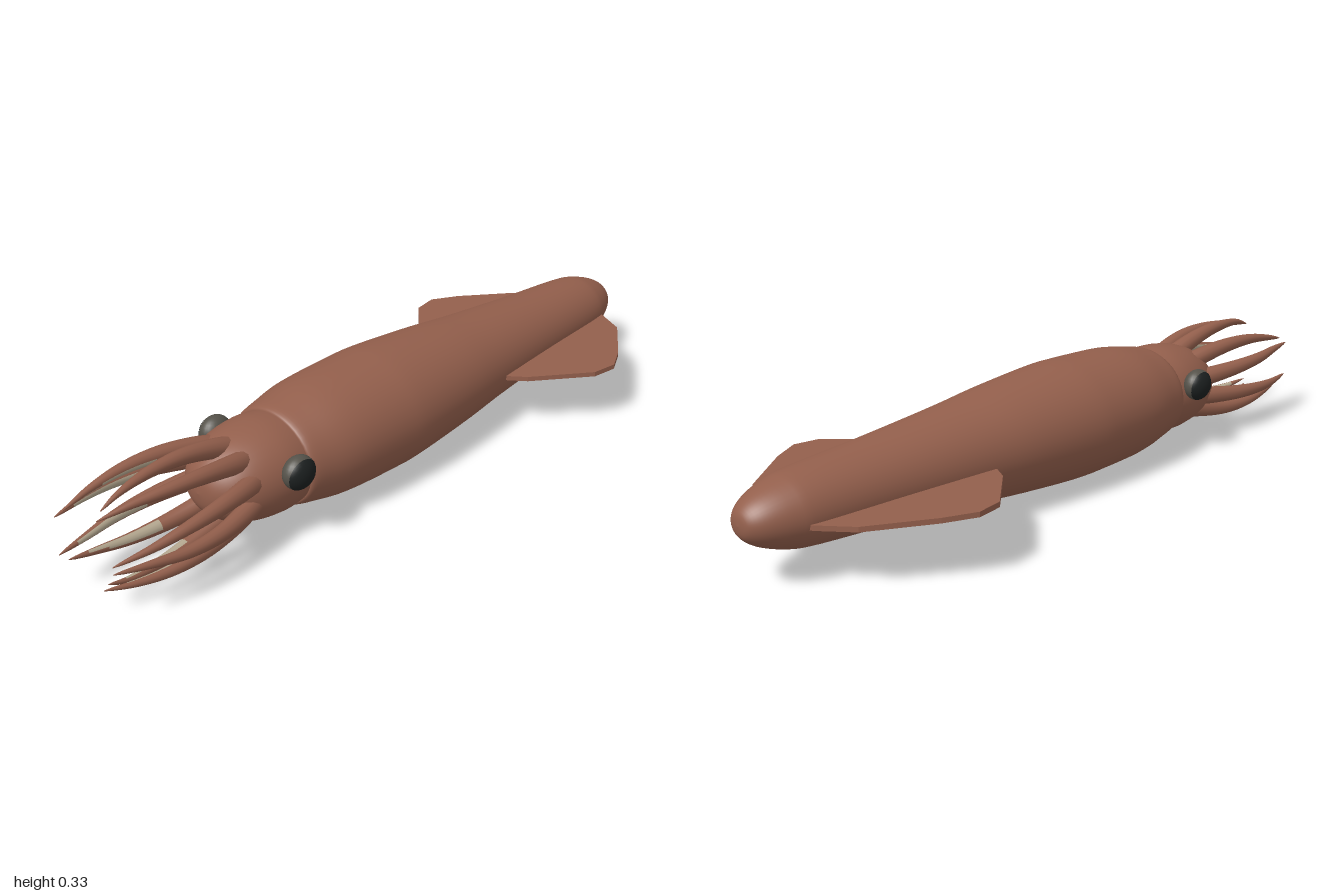
import * as THREE from 'three';

const AXIS_Y = 0.164; // height of the body axis
const FLATTEN = 0.88; // body is slightly wider than tall

function material(name, color, side = THREE.FrontSide) {
  const m = new THREE.MeshStandardMaterial({ color, side });
  m.name = name;
  return m;
}

function addMesh(parent, name, geometry, mat) {
  const mesh = new THREE.Mesh(geometry, mat);
  mesh.name = name;
  parent.add(mesh);
  return mesh;
}

// Smooth body of revolution along z from [radius, z] points
function revolve(points, steps) {
  const curve = new THREE.SplineCurve(points.map(([r, z]) => new THREE.Vector2(r, z)));
  const profile = curve.getPoints(steps);
  profile.forEach((p) => { p.x = Math.max(p.x, 0); });
  const g = new THREE.LatheGeometry(profile, 40);
  g.rotateX(Math.PI / 2);
  g.scale(1, FLATTEN, 1);
  g.translate(0, AXIS_Y, 0);
  return g;
}

// Tapered tube; faces turned inward near the tip go in a second material group
function armGeometry(curve, radiusAt, inward) {
  const n = 24, sides = 12;
  const g = new THREE.TubeGeometry(curve, n, 1, sides, false);
  const pos = g.attributes.position, nor = g.attributes.normal;
  for (let i = 0; i <= n; i++) {
    const c = curve.getPointAt(i / n), r = radiusAt(i / n);
    for (let j = 0; j <= sides; j++) {
      const k = i * (sides + 1) + j;
      pos.setXYZ(k, c.x + nor.getX(k) * r, c.y + nor.getY(k) * r, c.z + nor.getZ(k) * r);
    }
  }
  const skin = [], pale = [], index = g.index.array;
  const v = new THREE.Vector3();
  for (let f = 0; f < index.length; f += 6) {
    const quad = Array.from(index.slice(f, f + 6));
    const t = Math.floor(quad[0] / (sides + 1)) / n;
    const facing = quad.reduce((s, k) => s + v.fromBufferAttribute(nor, k).dot(inward), 0) / 6;
    (t > 0.4 && t < 0.85 && facing > 0.72 ? pale : skin).push(...quad);
  }
  g.setIndex([...skin, ...pale]);
  g.clearGroups();
  g.addGroup(0, skin.length, 0);
  g.addGroup(skin.length, pale.length, 1);
  return g;
}

export function createModel() {
  const model = new THREE.Group();
  model.name = 'squid';
  const skin = material('reddish brown skin', 0x935f4c, THREE.DoubleSide);
  const pale = material('pale suckers', 0xb5a890);
  const eyeGrey = material('eye grey', 0x55524a);
  const pupilDark = material('pupil dark', 0x1c2020);

  // Long mantle, pointed at the back
  addMesh(model, 'mantle', revolve([
    [0, -1], [0.035, -0.993], [0.066, -0.96], [0.092, -0.9], [0.106, -0.83], [0.124, -0.6],
    [0.147, -0.36], [0.166, -0.2], [0.183, 0.0], [0.184, 0.1], [0.177, 0.26],
    [0.158, 0.36], [0.146, 0.405], [0.13, 0.41],
  ], 60), skin);

  // Head with a rounded front
  addMesh(model, 'head', revolve([
    [0.13, 0.36], [0.14, 0.42], [0.142, 0.47], [0.133, 0.53], [0.115, 0.58],
    [0.085, 0.62], [0.045, 0.645], [0, 0.652],
  ], 28), skin);

  for (const side of [1, -1]) {
    const label = side > 0 ? 'left' : 'right';

    // Flat tail fin
    const outline = [
      [0.06, -0.89], [0.105, -0.875], [0.195, -0.82], [0.3, -0.67], [0.34, -0.59],
      [0.328, -0.515], [0.2, -0.375], [0.15, -0.345], [0.08, -0.35],
    ].map(([x, z]) => new THREE.Vector2(side * x, z));
    const fin = new THREE.ExtrudeGeometry(new THREE.Shape(outline), { depth: 0.013, bevelEnabled: false });
    fin.rotateX(Math.PI / 2);
    fin.rotateZ(side * 0.055);
    fin.translate(0, 0.153, 0);
    addMesh(model, label + 'Fin', fin, skin);

    // Eye with a dark outward cap
    const eye = new THREE.Group();
    eye.name = label + 'Eye';
    eye.position.set(side * 0.15, 0.202, 0.462);
    eye.scale.set(0.034, 0.044, 0.046);
    model.add(eye);
    addMesh(eye, 'eyeball', new THREE.SphereGeometry(1, 24, 16), eyeGrey);
    const cap = new THREE.SphereGeometry(1.025, 24, 8, 0, Math.PI * 2, 0, 1.2);
    cap.rotateZ(-side * 1.72);
    addMesh(eye, 'pupil', cap, pupilDark);
  }

  // Ring of ten arms that bow outward, then curl in at the tips
  const count = 10;
  for (let i = 0; i < count; i++) {
    const a = Math.PI / 2 - (i / count) * Math.PI * 2;
    const curl = (i % 2 ? 1 : -1) * 0.22;
    const reach = 0.945 + 0.045 * Math.abs(Math.cos(a));
    const at = (r, turn, z) => new THREE.Vector3(
      Math.cos(a + turn) * r, AXIS_Y + Math.sin(a + turn) * r * 0.9, z);
    const curve = new THREE.CatmullRomCurve3([
      at(0.088, 0, 0.53), at(0.113, 0, 0.6), at(0.135, curl * 0.1, 0.7),
      at(0.14, curl * 0.3, 0.8), at(0.13, curl * 0.65, 0.89), at(0.111, curl, reach),
    ]);
    const inward = new THREE.Vector3(-Math.cos(a), -Math.sin(a), 0);
    const radiusAt = (t) => 0.027 * Math.pow(1 - t, 0.7) + 0.001;
    addMesh(model, 'arm' + (i + 1), armGeometry(curve, radiusAt, inward), [skin, pale]);
  }
  return model;
}
